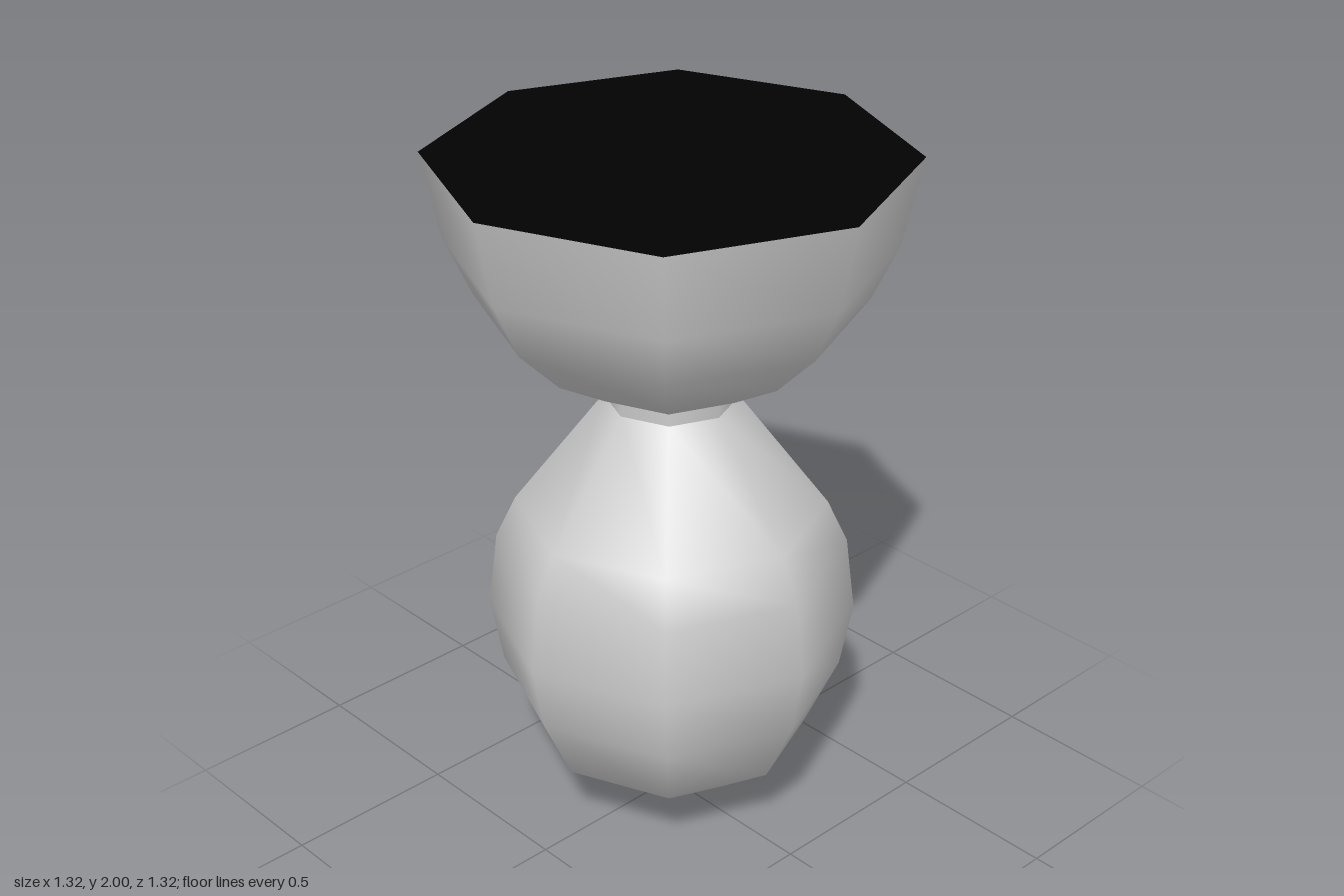
import * as THREE from 'three';

const SIDES = 8;

export function createModel() {
  const model = new THREE.Group();
  const grey = new THREE.MeshStandardMaterial({ color: 0xcccccc });
  grey.name = 'light grey';
  const black = new THREE.MeshStandardMaterial({ color: 0x020202 });
  black.name = 'black';

  const add = (name, geometry, material) => {
    const mesh = new THREE.Mesh(geometry, material);
    mesh.name = name;
    model.add(mesh);
    return mesh;
  };
  // Eight-sided turned part from [radius, height] pairs, bottom to top
  const turn = (name, profile) =>
    add(name, new THREE.LatheGeometry(profile.map(([r, y]) => new THREE.Vector2(r, y)), SIDES), grey);

  // Egg-shaped lower body
  turn('body', [[0, 0], [0.2, 0.075], [0.395, 0.225], [0.49, 0.43],
    [0.525, 0.625], [0.498, 0.845], [0.44, 0.97], [0.187, 1.3]]);

  // Short neck joining body and bowl
  turn('neck', [[0.187, 1.3], [0.187, 1.367]]);

  // Bowl with a flat underside
  turn('bowlUnderside', [[0.187, 1.367], [0.245, 1.367]]);
  turn('bowl', [[0.245, 1.367], [0.4, 1.46], [0.533, 1.595], [0.608, 1.755], [0.66, 2]]);

  // Dark flat top filling the rim
  const top = add('bowlTop', new THREE.CircleGeometry(0.66, SIDES), black);
  top.rotation.x = -Math.PI / 2;
  top.position.y = 2;

  return model;
}
